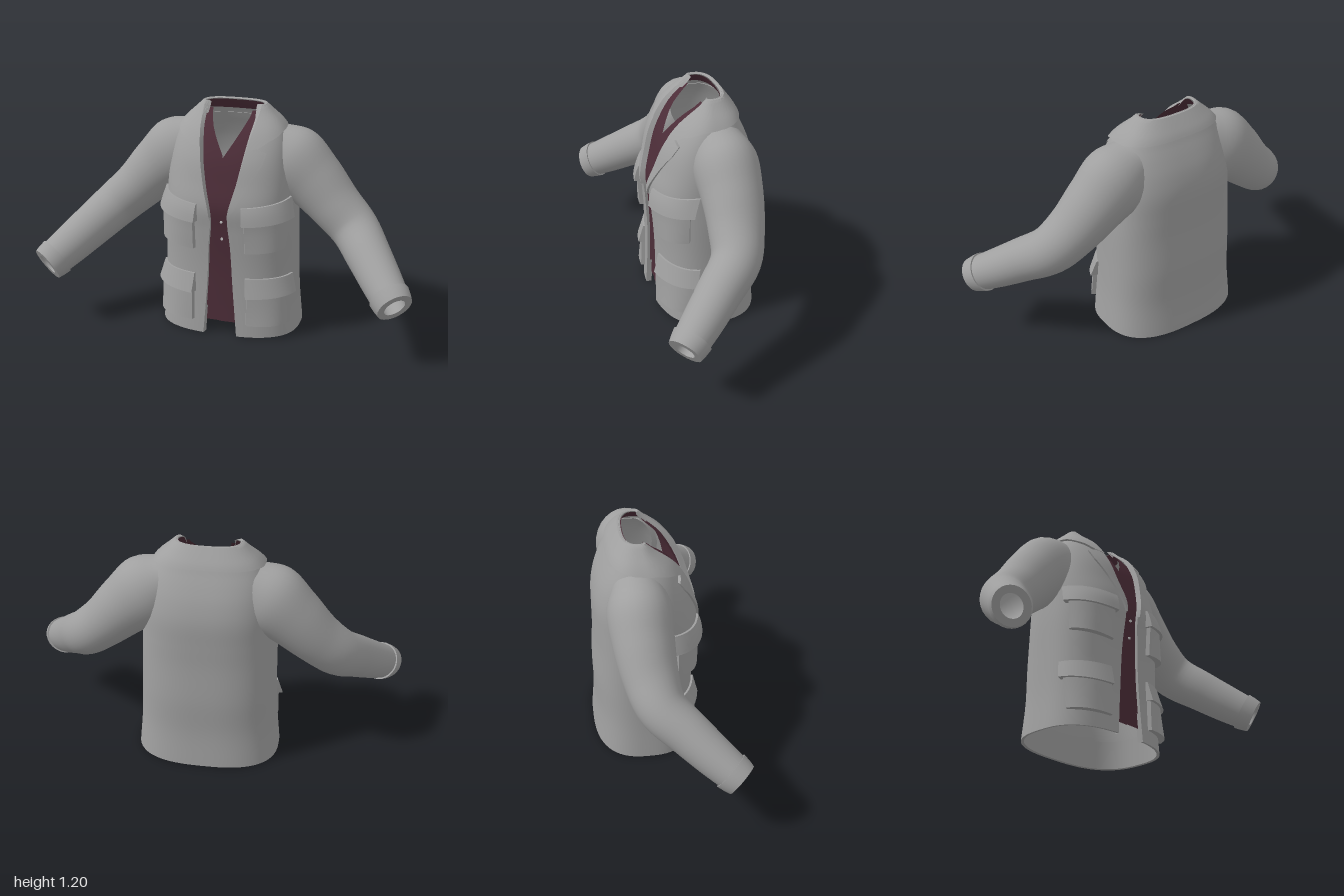
import * as THREE from 'three';
import { toCreasedNormals } from 'three/addons/utils/BufferGeometryUtils.js';

const { lerp, clamp } = THREE.MathUtils;
const cloth = new THREE.MeshStandardMaterial({ color: 0xa0a0a0, side: THREE.DoubleSide });
cloth.name = 'grey cloth';
const wine = new THREE.MeshStandardMaterial({ color: 0x4c2d38, side: THREE.DoubleSide });
wine.name = 'wine vest';
const pearl = new THREE.MeshStandardMaterial({ color: 0xc4c4c4 });
pearl.name = 'pale button';

// Torso profile: height, half width, front z, back z, middle z
const torso = [
  [0.01, 0.375, 0.18, -0.353, -0.08], [0.2, 0.358, 0.175, -0.34, -0.08],
  [0.4, 0.35, 0.175, -0.343, -0.08], [0.6, 0.345, 0.187, -0.335, -0.08],
  [0.72, 0.338, 0.197, -0.335, -0.08], [0.85, 0.33, 0.165, -0.333, -0.08],
  [0.95, 0.315, 0.135, -0.312, -0.085], [1.03, 0.295, 0.095, -0.28, -0.09],
  [1.09, 0.265, 0.055, -0.25, -0.095], [1.13, 0.235, 0.015, -0.232, -0.1],
  [1.165, 0.2, -0.025, -0.21, -0.1], [1.205, 0.16, -0.06, -0.183, -0.1],
];
// Half width of the front opening, the vest neckline and the lapel's outer edge
const opening = [[0.01, 0.09], [0.3, 0.068], [0.5, 0.058], [0.68, 0.046], [0.84, 0.083],
  [0.95, 0.105], [1.05, 0.122], [1.12, 0.135], [1.205, 0.145]];
const neckline = [[0.08, 0], [0.965, 0], [1.05, 0.055], [1.1, 0.085], [1.15, 0.112], [1.2, 0.125]];
const lapelEdge = [[0.67, 0.05], [0.75, 0.092], [0.85, 0.142], [0.945, 0.198], [1.0, 0.212], [1.02, 0.165]];
const collarEdge = [[0, 1.015], [0.03, 1.02], [0.067, 1.05], [0.15, 1.085], [0.3, 1.105], [0.5, 1.11]];

// Table lookup, straight or smooth
function look(table, key, col = 1, smooth = false) {
  const n = table.length - 1;
  const k = clamp(key, table[0][0], table[n][0]);
  let i = 0;
  while (i < n - 1 && k > table[i + 1][0]) i++;
  const [a, b] = [table[i], table[i + 1]];
  const h = b[0] - a[0], t = (k - a[0]) / h;
  if (!smooth) return lerp(a[col], b[col], t);
  const slope = (j) => {
    const p = table[Math.max(j - 1, 0)], q = table[Math.min(j + 1, n)];
    return (q[col] - p[col]) / (q[0] - p[0]);
  };
  const t2 = t * t, t3 = t2 * t;
  return (2 * t3 - 3 * t2 + 1) * a[col] + (t3 - 2 * t2 + t) * h * slope(i)
    + (3 * t2 - 2 * t3) * b[col] + (t3 - t2) * h * slope(i + 1);
}

// Point on the torso at height y and angle a (0 is front, turning to +x), pushed out by off
const ROUND = 0.75;
const power = (v) => Math.sign(v) * Math.abs(v) ** ROUND;
function skin(y, a, off = 0) {
  const [w, zf, zb, zc] = [1, 2, 3, 4].map((c) => look(torso, y, c, true));
  const c = power(Math.cos(a));
  return new THREE.Vector3((w + off) * power(Math.sin(a)), y,
    zc + c * (c > 0 ? zf + off - zc : zc - zb + off));
}
function angleAt(y, x) {
  const r = clamp(x / look(torso, y, 1, true), -0.985, 0.985);
  return Math.asin(Math.sign(r) * Math.abs(r) ** (1 / ROUND));
}
// Angle at fraction s of the way round, from one front edge to the other
function around(y, s) {
  const a = angleAt(y, look(opening, y, 1, true));
  return lerp(a, 2 * Math.PI - a, s);
}

// Skin a grid of points; side -1 mirrors it
function loft(name, rows, material, { closed = false, side = 1, crease = 0.8 } = {}) {
  const n = rows[0].length, index = [];
  const pos = rows.flat().flatMap((p) => [p.x * side, p.y, p.z]);
  for (let i = 0; i < rows.length - 1; i++) {
    for (let j = 0; j < (closed ? n : n - 1); j++) {
      const k = (j + 1) % n;
      const [a, b, c, d] = [i * n + j, i * n + k, (i + 1) * n + k, (i + 1) * n + j];
      index.push(...(side > 0 ? [a, b, c, a, c, d] : [a, c, b, a, d, c]));
    }
  }
  const geo = new THREE.BufferGeometry();
  geo.setAttribute('position', new THREE.Float32BufferAttribute(pos, 3));
  geo.setIndex(index);
  const mesh = new THREE.Mesh(toCreasedNormals(geo, crease), material);
  mesh.name = name;
  return mesh;
}
const steps = (n) => Array.from({ length: n + 1 }, (_, i) => i / n);

// Raised layer on the torso; at(u, v) gives [height, angle], its rim sinks into the cloth
function layer(name, at, off, nu, nv, side = 1) {
  const us = [0, ...steps(nu), 1], vs = [0, ...steps(nv), 1];
  const rows = vs.map((v, i) => us.map((u, j) => {
    const rim = i === 0 || j === 0 || i === vs.length - 1 || j === us.length - 1;
    return skin(...at(u, v), rim ? -0.006 : off(u, v));
  }));
  return loft(name, rows, cloth, { side });
}

// Pocket piece: x range and its bottom and top heights at the inner and outer ends
function pocketPiece(name, [xIn, xOut], [b0, b1], [t0, t1], off, side) {
  return layer(name, (u, v) => {
    const y = lerp(lerp(b0, b1, u), lerp(t0, t1, u), v);
    return [y, lerp(angleAt(y, xIn), angleAt(y, xOut), u)];
  }, off, 10, 8, side);
}

// Sleeve stations: centre, then radius across and radius front to back
const arm = [
  [0.19, 0.995, -0.12, 0.125, 0.12], [0.3, 0.92, -0.12, 0.183, 0.16], [0.42, 0.82, -0.115, 0.16, 0.152],
  [0.54, 0.7, -0.095, 0.136, 0.137], [0.65, 0.6, -0.055, 0.125, 0.122], [0.745, 0.51, 0.06, 0.115, 0.11],
  [0.83, 0.428, 0.17, 0.105, 0.1], [0.89, 0.372, 0.25, 0.096, 0.09], [0.92, 0.345, 0.29, 0.088, 0.08],
];
const armLine = new THREE.CatmullRomCurve3(arm.map((s) => new THREE.Vector3(s[0], s[1], s[2])));
const armSize = new THREE.CatmullRomCurve3(arm.map((s) => new THREE.Vector3(s[3], s[4], 0)), false, 'catmullrom');
function armRing(t, off = 0) {
  const c = armLine.getPoint(t), r = armSize.getPoint(t), dir = armLine.getTangent(t);
  const v = new THREE.Vector3(0, 0, 1).addScaledVector(dir, -dir.z).normalize();
  const u = v.clone().cross(dir);
  return steps(28).slice(0, -1).map((f) => c.clone()
    .addScaledVector(u, (r.x + off) * Math.cos(f * 2 * Math.PI))
    .addScaledVector(v, (r.y + off) * Math.sin(f * 2 * Math.PI)));
}

export function createModel() {
  const jacket = new THREE.Group();
  jacket.name = 'jacket';

  // Coat body, open at the front, with turned hem, front edges and neck
  const ring = (y, off = 0) => [skin(y, around(y, 0), off - 0.014),
    ...steps(80).map((s) => skin(y, around(y, s), off)), skin(y, around(y, 1), off - 0.014)];
  jacket.add(loft('coatBody', [
    ring(0.16, -0.014), ring(0.012, -0.014),
    ...steps(52).map((f) => ring(lerp(0.01, 1.205, f))),
    ring(1.2, -0.012), ring(1.15, -0.016),
  ], cloth));

  // Collar wrapping the neck
  jacket.add(layer('collar', (s, v) => {
    const y = lerp(look(collarEdge, Math.min(s, 1 - s)), 1.204, v);
    return [y, around(y, s)];
  }, (s, v) => lerp(0.016, 0.008, v), 90, 10));

  // Vest neckband
  jacket.add(loft('vestNeckband', [[1.145, -0.024], [1.17, -0.022], [1.197, -0.018]].map(([y, off]) =>
    steps(60).map((s) => skin(y, around(y, s), off))), wine));

  for (const side of [1, -1]) {
    // Lapel
    jacket.add(layer('lapel', (u, v) => {
      const y = lerp(0.67, 1.02, v), inner = look(opening, y, 1, true);
      const outer = Math.max(look(lapelEdge, y), inner + 0.002);
      return [y, angleAt(y, lerp(inner, outer, u))];
    }, () => 0.013, 8, 36, side));

    // Vest front, the left half overlapping the right
    const lap = side > 0 ? 0.01 : 0, depth = side > 0 ? -0.02 : -0.025;
    jacket.add(loft('vestFront', steps(44).map((f) => {
      const y = lerp(0.08, 1.175, f);
      const inner = look(neckline, y) - (y < 0.965 ? lap : 0);
      const outer = 0.86 * look(torso, y, 1, true);
      return steps(18).map((u) => skin(y, angleAt(y, lerp(inner, outer, u)), depth));
    }), wine, { side }));

    // Pockets with flaps
    const bag = (u, v) => 0.02 + 0.012 * Math.sin(Math.PI * u) * (1 - v);
    const flap = (u, v) => lerp(0.036, 0.01, v);
    jacket.add(
      pocketPiece('chestPocket', [0.13, 0.32], [0.49, 0.515], [0.67, 0.7], bag, side),
      pocketPiece('chestPocketFlap', [0.115, 0.328], [0.643, 0.668], [0.735, 0.765], flap, side),
      pocketPiece('hipPocket', [0.14, 0.335], [0.085, 0.09], [0.27, 0.27], bag, side),
      pocketPiece('hipPocketFlap', [0.133, 0.342], [0.242, 0.252], [0.345, 0.345], flap, side),
    );

    // Sleeve and its cuff with an inner rim
    jacket.add(loft('sleeve', steps(40).map((f) => armRing(f * 0.97)), cloth, { closed: true, side, crease: 1.2 }));
    const cuff = [[0.86, -0.004], [0.86, 0.008], [0.93, 0.008], [1, 0.006], [1, -0.03], [0.88, -0.034]];
    jacket.add(loft('cuff', cuff.map(([t, off]) => armRing(t, off)), cloth, { closed: true, side }));
  }

  // Vest buttons
  for (const y of [0.55, 0.645]) {
    const button = new THREE.Mesh(new THREE.CylinderGeometry(0.007, 0.007, 0.008, 12), pearl);
    button.rotation.x = Math.PI / 2;
    button.position.set(0.01, y, skin(y, 0, -0.018).z);
    button.name = 'vestButton';
    jacket.add(button);
  }
  return jacket;
}
